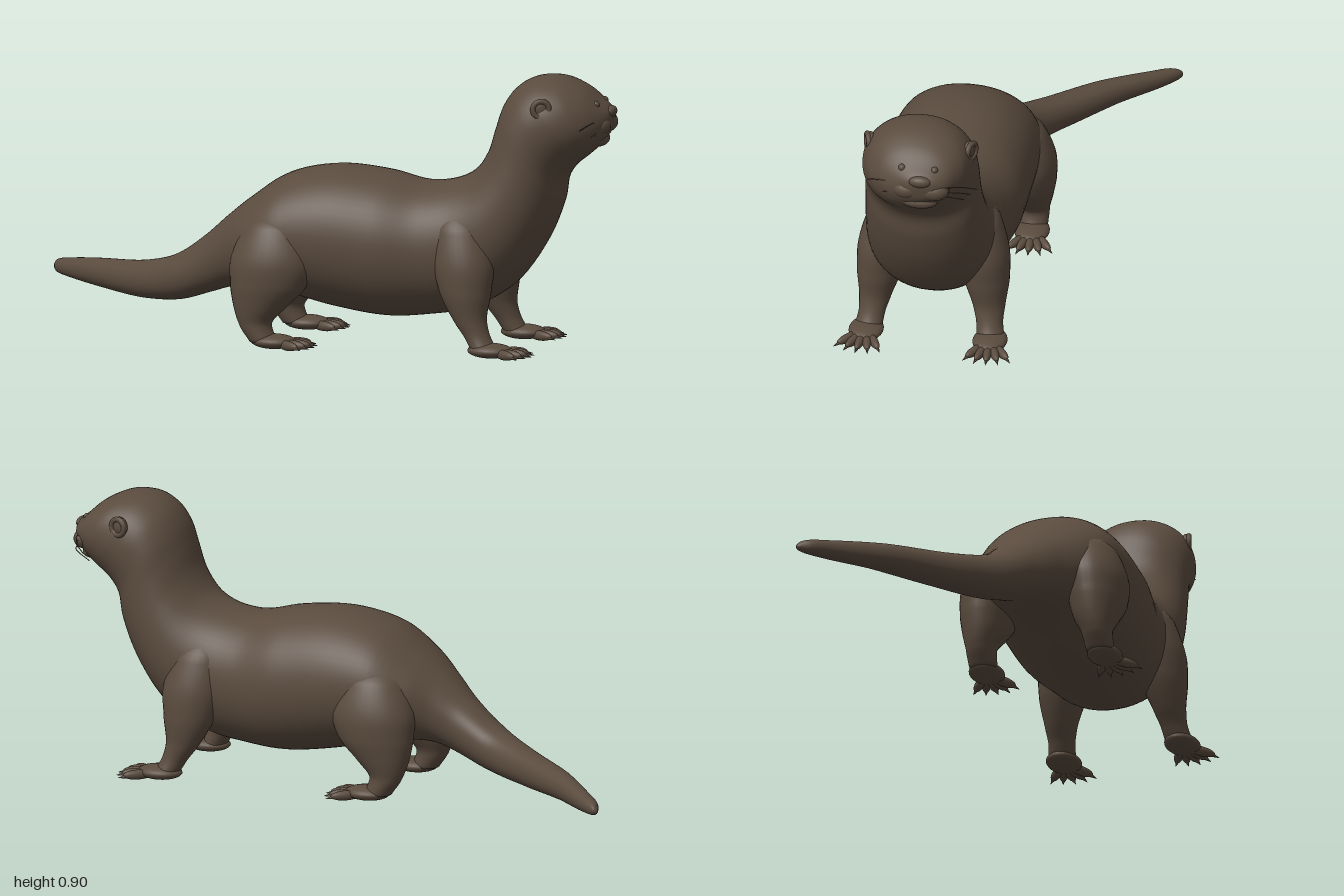
import * as THREE from 'three';

const fur = new THREE.MeshStandardMaterial({ color: 0x5a4b3e });
fur.name = 'darkBrownFur';

const MID = 0.108; // z of the body's plane of symmetry
const V = (x, y, z) => new THREE.Vector3(x, y, z);

// Closed skin over rings { c: centre, u, w: half axes }, with u x w along the path
function loft(rings, sides, power = 1) {
  const pos = [], idx = [];
  const soft = (v) => Math.sign(v) * Math.abs(v) ** power;
  for (const { c, u, w } of rings) {
    for (let j = 0; j < sides; j++) {
      const a = (j / sides) * Math.PI * 2;
      const p = c.clone().addScaledVector(u, soft(Math.cos(a))).addScaledVector(w, soft(Math.sin(a)));
      pos.push(p.x, p.y, p.z);
    }
  }
  const n = rings.length, first = n * sides, last = first + 1;
  pos.push(...rings[0].c.toArray(), ...rings[n - 1].c.toArray());
  for (let j = 0; j < sides; j++) {
    const k = (j + 1) % sides;
    for (let i = 0; i < n - 1; i++) {
      const a = i * sides, b = a + sides;
      idx.push(a + j, a + k, b + j, a + k, b + k, b + j);
    }
    const e = (n - 1) * sides;
    idx.push(first, k, j, last, e + j, e + k);
  }
  const g = new THREE.BufferGeometry();
  g.setAttribute('position', new THREE.Float32BufferAttribute(pos, 3));
  g.setIndex(idx);
  g.computeVertexNormals();
  return g;
}

function add(parent, name, geometry) {
  const m = new THREE.Mesh(geometry, fur);
  m.name = name;
  parent.add(m);
  return m;
}

function blob(parent, name, p, r) {
  const m = add(parent, name, new THREE.SphereGeometry(1, 24, 16));
  m.position.set(...p);
  m.scale.set(...r);
  return m;
}

// Cross-sections from tail tip to nose: top x, top y, bottom x, bottom y, centre z, half width
const BODY = [
  [-1, 0.125, -1, 0.115, -0.4, 0.006],
  [-0.985, 0.143, -0.985, 0.104, -0.383, 0.027],
  [-0.93, 0.158, -0.93, 0.098, -0.33, 0.043],
  [-0.8, 0.183, -0.8, 0.095, -0.2, 0.06],
  [-0.6, 0.21, -0.6, 0.09, -0.04, 0.075],
  [-0.47, 0.25, -0.45, 0.105, 0.045, 0.085],
  [-0.36, 0.325, -0.34, 0.14, 0.08, 0.1],
  [-0.28, 0.395, -0.26, 0.165, 0.1, 0.135],
  [-0.2, 0.46, -0.19, 0.17, MID, 0.19],
  [-0.08, 0.54, -0.07, 0.155, MID, 0.235],
  [0.08, 0.575, 0.08, 0.12, MID, 0.242],
  [0.25, 0.563, 0.26, 0.095, MID, 0.24],
  [0.38, 0.536, 0.4, 0.105, MID, 0.217],
  [0.48, 0.548, 0.53, 0.13, MID, 0.208],
  [0.55, 0.585, 0.67, 0.21, MID, 0.205],
  [0.595, 0.65, 0.775, 0.35, MID, 0.195],
  [0.62, 0.73, 0.83, 0.48, MID, 0.187],
  [0.645, 0.8, 0.845, 0.56, MID, 0.185],
  [0.685, 0.855, 0.875, 0.605, MID, 0.184],
  [0.745, 0.889, 0.915, 0.638, MID, 0.178],
  [0.825, 0.893, 0.95, 0.67, 0.102, 0.156],
  [0.9, 0.862, 0.972, 0.698, 0.092, 0.12],
  [0.95, 0.82, 0.983, 0.718, 0.08, 0.084],
  [0.983, 0.79, 0.988, 0.74, 0.072, 0.045],
  [0.99, 0.772, 0.991, 0.762, 0.07, 0.01],
];

function bodyGeometry() {
  const top = new THREE.CatmullRomCurve3(BODY.map((s) => V(s[0], s[1], 0)));
  const bottom = new THREE.CatmullRomCurve3(BODY.map((s) => V(s[2], s[3], 0)));
  const girth = new THREE.CatmullRomCurve3(BODY.map((s) => V(s[4], s[5], 0)));
  const rings = [], steps = (BODY.length - 1) * 6;
  for (let i = 0; i <= steps; i++) {
    const t = top.getPoint(i / steps), b = bottom.getPoint(i / steps), g = girth.getPoint(i / steps);
    const c = t.clone().add(b).multiplyScalar(0.5).setZ(g.x);
    rings.push({ c, u: t.sub(b).multiplyScalar(0.5), w: V(0, 0, g.y) });
  }
  return loft(rings, 56, 0.94);
}

// Limb sections from top to ankle: x, y, distance from midline, x radius, z radius
const FRONT_LEG = [
  [0.52, 0.48, 0.13, 0.02, 0.02], [0.53, 0.41, 0.145, 0.085, 0.068],
  [0.545, 0.3, 0.163, 0.1, 0.082], [0.555, 0.2, 0.175, 0.083, 0.073],
  [0.572, 0.12, 0.185, 0.055, 0.053], [0.602, 0.06, 0.193, 0.042, 0.043],
  [0.625, 0.022, 0.2, 0.042, 0.045],
];
const HIND_LEG = [
  [-0.08, 0.46, 0.13, 0.02, 0.02], [-0.08, 0.39, 0.155, 0.1, 0.083],
  [-0.085, 0.28, 0.175, 0.14, 0.102], [-0.098, 0.2, 0.185, 0.125, 0.09],
  [-0.125, 0.13, 0.19, 0.085, 0.07], [-0.138, 0.08, 0.197, 0.054, 0.05],
  [-0.11, 0.022, 0.2, 0.045, 0.045],
];

function legGeometry(sections, side) {
  const centre = new THREE.CatmullRomCurve3(sections.map((s) => V(s[0], s[1], MID + side * s[2])));
  const radii = new THREE.CatmullRomCurve3(sections.map((s) => V(s[3], s[4], 0)));
  const rings = [];
  for (let i = 0; i <= 36; i++) {
    const r = radii.getPoint(i / 36);
    rings.push({ c: centre.getPoint(i / 36), u: V(r.x, 0, 0), w: V(0, 0, r.y) });
  }
  return loft(rings, 32);
}

// Flat paw with five spread, clawed toes
function paw(x, side) {
  const g = new THREE.Group();
  g.name = 'paw';
  g.position.set(x, 0, MID + side * 0.202);
  blob(g, 'palm', [0, 0.024, 0], [0.075, 0.024, 0.056]);
  for (let i = -2; i <= 2; i++) {
    const toe = new THREE.Group();
    toe.name = 'toe';
    toe.rotation.y = -(i * 0.29 + side * 0.08);
    blob(toe, 'toePad', [0.073, 0.018, 0], [0.05, 0.016, 0.0145]);
    const claw = add(toe, 'claw', new THREE.ConeGeometry(0.008, 0.035, 8));
    claw.rotation.z = -Math.PI / 2 - 0.15;
    claw.position.set(0.125, 0.013, 0);
    g.add(toe);
  }
  return g;
}

export function createModel() {
  const model = new THREE.Group();
  model.name = 'otter';
  add(model, 'body', bodyGeometry());

  for (const side of [-1, 1]) {
    for (const [name, sections, pawX] of [['frontLeg', FRONT_LEG, 0.645], ['hindLeg', HIND_LEG, -0.075]]) {
      const leg = new THREE.Group();
      leg.name = name;
      add(leg, 'limb', legGeometry(sections, side));
      leg.add(paw(pawX, side));
      model.add(leg);
    }

    // Small round ears with a raised rim
    const ear = new THREE.Group();
    ear.name = 'ear';
    ear.position.set(0.8, 0.808, MID - 0.003 + side * 0.16);
    ear.rotation.y = side * 0.35;
    blob(ear, 'earLobe', [0, 0, 0], [0.03, 0.033, 0.016]);
    const rim = add(ear, 'earRim', new THREE.TorusGeometry(0.026, 0.009, 10, 28));
    rim.position.z = side * 0.01;
    model.add(ear);

    // Face
    blob(model, 'eye', [0.948, 0.808, 0.082 + side * 0.053], [0.012, 0.012, 0.012]);
    blob(model, 'whiskerPad', [0.953, 0.738, 0.073 + side * 0.043], [0.038, 0.034, 0.05]);
    for (let i = 0; i < 3; i++) {
      const z = 0.073 + side * 0.075, y = 0.752 - i * 0.013;
      const path = new THREE.CatmullRomCurve3([
        V(0.965, y, z),
        V(0.955, y + 0.006 - i * 0.008, z + side * 0.045),
        V(0.925 - i * 0.01, y - 0.012 - i * 0.014, z + side * (0.105 - i * 0.025)),
      ]);
      add(model, 'whisker', new THREE.TubeGeometry(path, 12, 0.0016, 5));
    }
  }
  blob(model, 'nose', [0.981, 0.779, 0.071], [0.018, 0.019, 0.036]);
  blob(model, 'chin', [0.942, 0.69, 0.08], [0.034, 0.025, 0.062]);
  return model;
}
